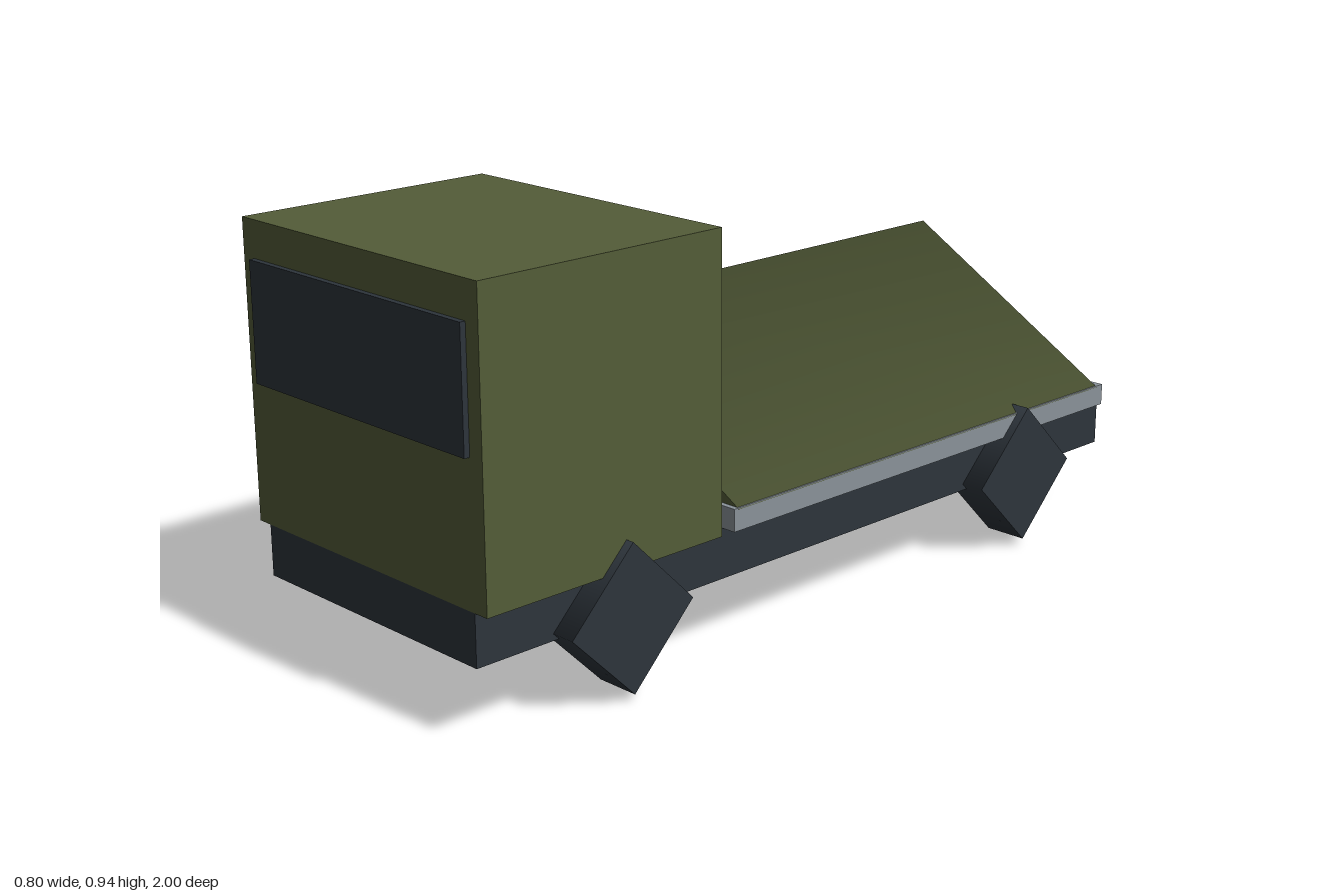
import * as THREE from 'three';

const mat = (name, color) => {
  const m = new THREE.MeshStandardMaterial({ color });
  m.name = name;
  return m;
};

export function createModel() {
  const olive = mat('olive green', 0x535c38);
  const dark = mat('dark slate', 0x2d343b);
  const grey = mat('light grey', 0x8a9299);
  const truck = new THREE.Group();
  truck.name = 'truck';

  const add = (name, geometry, material, x, y, z) => {
    const mesh = new THREE.Mesh(geometry, material);
    mesh.name = name;
    mesh.position.set(x, y, z);
    truck.add(mesh);
    return mesh;
  };
  // Box given by its half width and its y and z limits
  const box = (name, material, halfW, y0, y1, z0, z1) =>
    add(name, new THREE.BoxGeometry(halfW * 2, y1 - y0, z1 - z0), material, 0, (y0 + y1) / 2, (z0 + z1) / 2);

  box('chassis', dark, 0.343, 0.167, 0.282, -1, 0.987);
  box('cab', olive, 0.38, 0.282, 0.942, 0.36, 0.987);
  box('windscreen', dark, 0.343, 0.596, 0.86, 0.98, 1);
  box('cargoBed', grey, 0.38, 0.282, 0.333, -0.967, 0.323);

  // Three-sided canopy roll, one edge pointing to the left side
  const canopy = new THREE.CylinderGeometry(0.381, 0.381, 1.255, 3, 1, false, Math.PI / 2);
  canopy.rotateX(Math.PI / 2);
  add('canopy', canopy, olive, 0, 0.33, -0.317);

  // Four-sided wheels
  const wheel = new THREE.CylinderGeometry(0.165, 0.165, 0.104, 4);
  wheel.rotateZ(Math.PI / 2);
  for (const [end, z] of [['front', 0.628], ['rear', -0.643]]) {
    for (const [side, s] of [['Left', 1], ['Right', -1]]) {
      add(`${end}${side}Wheel`, wheel, dark, s * 0.348, 0.182, z);
    }
  }
  return truck;
}
